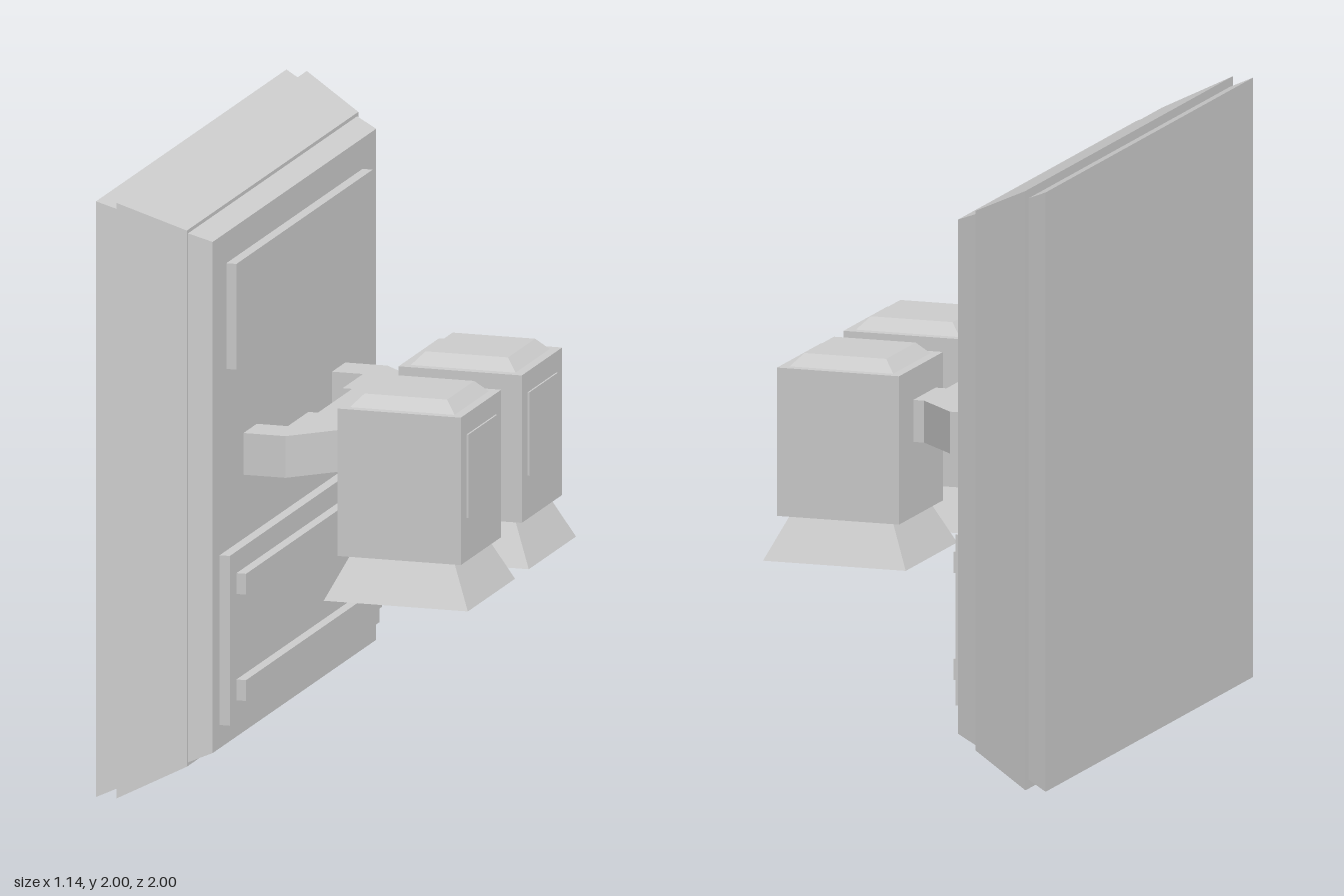
import * as THREE from 'three';

const material = new THREE.MeshStandardMaterial({ color: 0xcccccc, flatShading: true });

function add(parent, name, geometry) {
  const mesh = new THREE.Mesh(geometry, material);
  mesh.name = name;
  parent.add(mesh);
  return mesh;
}

// Box given by its lower and upper limits on each axis
function box(parent, name, [x0, x1], [y0, y1], [z0, z1]) {
  const mesh = add(parent, name, new THREE.BoxGeometry(x1 - x0, y1 - y0, z1 - z0));
  mesh.position.set((x0 + x1) / 2, (y0 + y1) / 2, (z0 + z1) / 2);
  return mesh;
}

// Square frustum along y, from half-width h0 at y0 to half-width h1 at y1
function frustum(y0, h0, y1, h1) {
  const g = new THREE.CylinderGeometry(h1 * Math.SQRT2, h0 * Math.SQRT2, y1 - y0, 4);
  return g.rotateY(Math.PI / 4).translate(0, (y0 + y1) / 2, 0);
}

function createLantern(side) {
  const lantern = new THREE.Group();
  lantern.name = side > 0 ? 'leftLantern' : 'rightLantern';
  add(lantern, 'flaredSkirt', frustum(0.61, 0.248, 0.755, 0.178));
  add(lantern, 'lanternBody', frustum(0.755, 0.212, 1.25, 0.212));
  add(lantern, 'bevelledCap', frustum(1.25, 0.18, 1.29, 0.142));
  box(lantern, 'facePanel', [0.205, 0.218], [0.9, 1.18], [-0.15, 0.15]);
  lantern.position.set(0.32, 0, side * 0.32);
  return lantern;
}

export function createModel() {
  const model = new THREE.Group();
  model.name = 'wallLight';

  // Stepped, bevelled wall plate, stacked outward along x
  const plate = new THREE.Group();
  plate.name = 'wallPlate';
  const tiers = [
    ['backTier', -0.57, 1, -0.5, 0.97],
    ['middleTier', -0.5, 1, -0.29, 0.9],
    ['frontTier', -0.29, 0.888, -0.215, 0.858],
  ];
  for (const [name, ...size] of tiers) {
    add(plate, name, frustum(...size).rotateZ(-Math.PI / 2).translate(0, 1, 0));
  }
  model.add(plate);

  // Raised panels and rails on the plate
  box(model, 'upperPanel', [-0.23, -0.18], [1.4, 1.755], [-0.715, 0.715]);
  box(model, 'lowerPanel', [-0.23, -0.18], [0.22, 0.79], [-0.785, 0.785]);
  for (const y of [0.29, 0.647]) {
    box(model, 'lowerRail', [-0.19, -0.147], [y, y + 0.07], [-0.715, 0.715]);
  }

  // Forked bracket: half outline (x, z) mirrored across z, extruded upward
  const half = [
    [-0.075, 0.18], [-0.108, 0.18], [-0.108, 0.395], [-0.225, 0.395], [-0.225, 0.535],
    [-0.07, 0.535], [0.07, 0.395], [0.12, 0.395], [0.12, 0.18], [0.07, 0.18],
  ];
  const outline = [...half, ...half.map(([x, z]) => [x, -z]).reverse()];
  const shape = new THREE.Shape(outline.map(([x, z]) => new THREE.Vector2(x, -z)));
  const bracket = new THREE.ExtrudeGeometry(shape, { depth: 0.14, bevelEnabled: false });
  add(model, 'forkedBracket', bracket.rotateX(-Math.PI / 2).translate(0, 1.005, 0));

  for (const side of [1, -1]) model.add(createLantern(side));
  return model;
}
